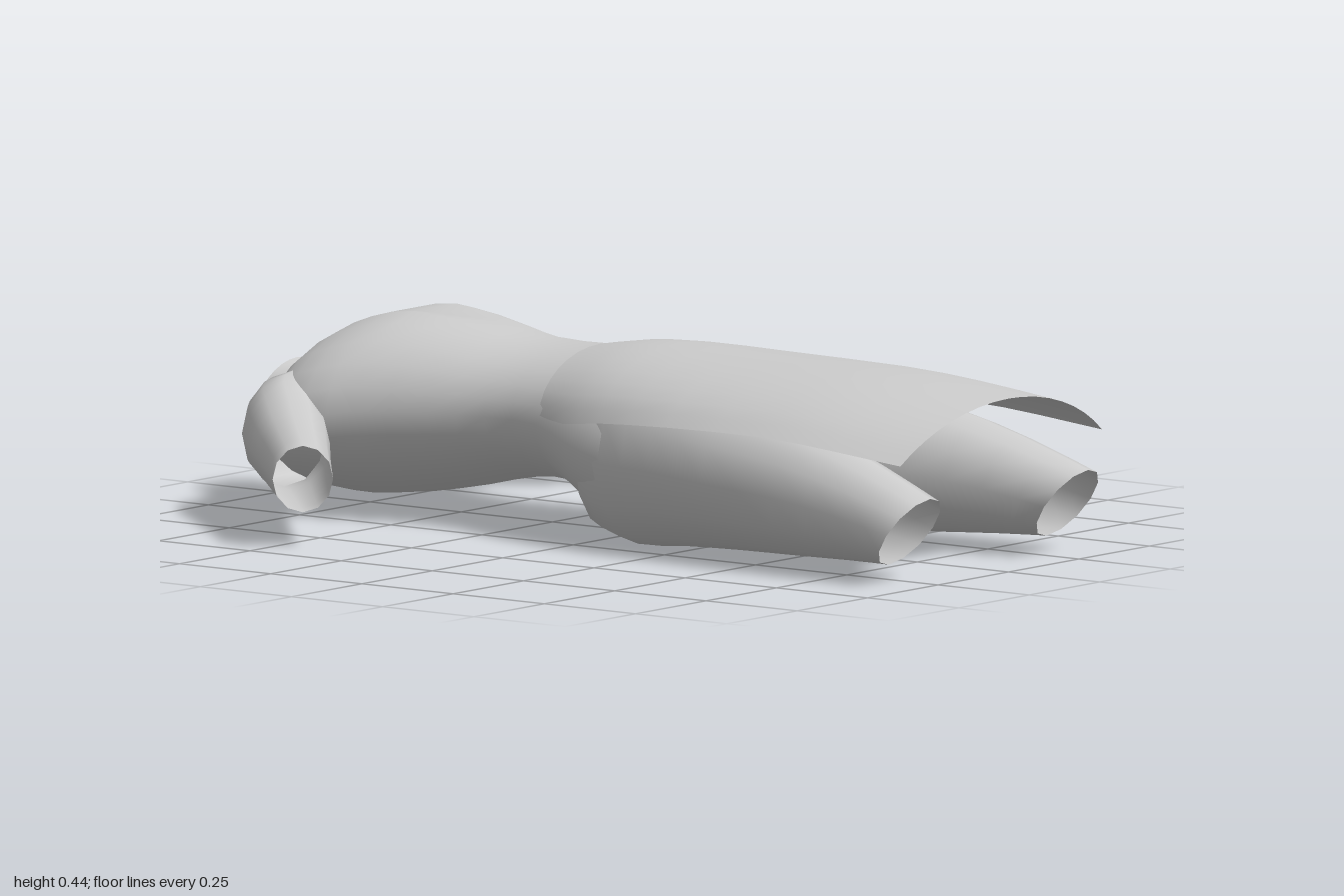
import * as THREE from 'three';

const material = new THREE.MeshStandardMaterial({ color: 0xcccccc, side: THREE.DoubleSide });

// Smoothly refine a list of section parameters (Catmull-Rom on each number)
function refine(rows, steps) {
  const out = [];
  for (let i = 0; i < rows.length - 1; i++) {
    const p0 = rows[Math.max(i - 1, 0)], p1 = rows[i], p2 = rows[i + 1];
    const p3 = rows[Math.min(i + 2, rows.length - 1)];
    for (let s = 0; s < steps; s++) {
      const t = s / steps;
      out.push(p1.map((b, k) => {
        const m1 = (p2[k] - p0[k]) / 2, m2 = (p3[k] - b) / 2, d = p2[k] - b;
        return b + m1 * t + (3 * d - 2 * m1 - m2) * t * t + (m1 + m2 - 2 * d) * t * t * t;
      }));
    }
  }
  out.push(rows[rows.length - 1]);
  return out;
}

// Skin rows of points; closed rows wrap around
function skin(name, rings, closed) {
  const n = rings[0].length, index = [];
  for (let k = 0; k < rings.length - 1; k++) {
    for (let i = 0; i < (closed ? n : n - 1); i++) {
      const a = k * n + i, b = k * n + (i + 1) % n;
      index.push(a, b, a + n, b, b + n, a + n);
    }
  }
  const geometry = new THREE.BufferGeometry();
  geometry.setAttribute('position', new THREE.Float32BufferAttribute(rings.flat(2), 3));
  geometry.setIndex(index);
  geometry.computeVertexNormals();
  const mesh = new THREE.Mesh(geometry, material);
  mesh.name = name;
  return mesh;
}

const ring = (n, point) => Array.from({ length: n }, (_, i) => {
  const a = i / n * Math.PI * 2;
  return point(Math.cos(a), Math.sin(a));
});

const bell = (v, centre, width) => Math.exp(-(((v - centre) / width) ** 2));

// Neck, chest, waist and seat: z, half width, bottom y, top y, tilt of section
function makeTorso() {
  const rows = refine([
    [-0.975, 0.1, 0.16, 0.31, 0.025],
    [-0.93, 0.095, 0.14, 0.3, 0.02],
    [-0.885, 0.115, 0.11, 0.295, 0.02],
    [-0.862, 0.19, 0.085, 0.315, 0.01],
    [-0.83, 0.27, 0.06, 0.35, 0],
    [-0.77, 0.315, 0.045, 0.4, 0],
    [-0.68, 0.325, 0.04, 0.44, 0],
    [-0.57, 0.285, 0.05, 0.462, 0],
    [-0.42, 0.235, 0.078, 0.44, 0],
    [-0.28, 0.205, 0.108, 0.413, 0],
    [-0.13, 0.22, 0.11, 0.41, 0],
    [-0.02, 0.258, 0.05, 0.418, 0],
    [0.09, 0.285, 0.003, 0.42, 0],
    [0.17, 0.28, 0.02, 0.4, 0],
    [0.23, 0.19, 0.07, 0.36, 0],
    [0.27, 0.005, 0.22, 0.23, 0],
  ], 2);
  const rings = rows.map(([z, w, lo, hi, tilt]) => ring(24, (c, s) => {
    const x = w * c;
    let y = (lo + hi) / 2 + (hi - lo) / 2 * s;
    // centre crease of the bust and of the seat
    if (s > 0) y -= 0.022 * bell(x, 0, 0.05) * bell(z, -0.56, 0.1);
    else y += 0.012 * bell(x, 0, 0.04) * bell(z, 0.1, 0.12);
    return [x, y, z + tilt * s];
  }));
  return skin('torso', rings, true);
}

// Trouser leg: z, centre x, centre y, x radius, y radius, tilt of section
function makeLeg() {
  const rows = refine([
    [0, 0.135, 0.2, 0.11, 0.16, 0],
    [0.1, 0.15, 0.2, 0.14, 0.19, 0],
    [0.25, 0.168, 0.2, 0.148, 0.18, 0],
    [0.42, 0.2, 0.192, 0.143, 0.162, 0],
    [0.62, 0.235, 0.18, 0.122, 0.142, 0.01],
    [0.8, 0.262, 0.155, 0.098, 0.11, 0.03],
    [0.945, 0.28, 0.125, 0.083, 0.077, 0.057],
  ], 2);
  return skin('leg', rows.map(([z, cx, cy, rx, ry, tilt]) =>
    ring(12, (c, s) => [cx + rx * c, cy + ry * s, z + tilt * s])), true);
}

// Sleeve: centre x, y, z, horizontal radius, vertical radius, heading angle
function makeSleeve() {
  const rows = refine([
    [0.18, 0.2, -0.758, 0.1, 0.13, 0],
    [0.295, 0.2, -0.755, 0.092, 0.122, 0.4],
    [0.38, 0.187, -0.68, 0.09, 0.1, 0.73],
    [0.5, 0.174, -0.57, 0.078, 0.084, 0.75],
    [0.64, 0.16, -0.44, 0.066, 0.073, 0.75],
  ], 3);
  return skin('sleeve', rows.map(([x, y, z, rh, rv, a]) =>
    ring(12, (c, s) => [x + rh * c * Math.sin(a), y + rv * s, z - rh * c * Math.cos(a)])), true);
}

// Open front skirt panel: z, half width, centre y, edge y, arc angle
function makeSkirtPanel() {
  const rows = refine([
    [-0.12, 0.218, 0.412, 0.28, 1.5],
    [-0.02, 0.263, 0.428, 0.275, 1.45],
    [0.1, 0.295, 0.435, 0.29, 1.4],
    [0.32, 0.337, 0.43, 0.305, 1.25],
    [0.6, 0.356, 0.425, 0.31, 1.05],
    [0.8, 0.36, 0.412, 0.297, 0.95],
    [0.99, 0.358, 0.39, 0.28, 0.85],
  ], 2);
  const n = 16;
  return skin('skirtPanel', rows.map(([z, w, yc, ye, arc]) =>
    Array.from({ length: n + 1 }, (_, i) => {
      const a = (1 - 2 * i / n) * arc;
      const drop = (1 - Math.cos(a)) / (1 - Math.cos(arc));
      // the hem is slightly longer in the middle
      const hem = z > 0.9 ? 0.01 * (1 - 2 * drop) : 0;
      return [w * Math.sin(a) / Math.sin(arc), yc - (yc - ye) * drop, z + hem];
    })), false);
}

export function createModel() {
  const model = new THREE.Group();
  model.name = 'garment';
  model.add(makeTorso(), makeSkirtPanel());
  for (const [side, sign] of [['left', 1], ['right', -1]]) {
    const limbs = new THREE.Group();
    limbs.name = side + 'Limbs';
    limbs.scale.x = sign;
    limbs.add(makeLeg(), makeSleeve());
    model.add(limbs);
  }
  return model;
}
